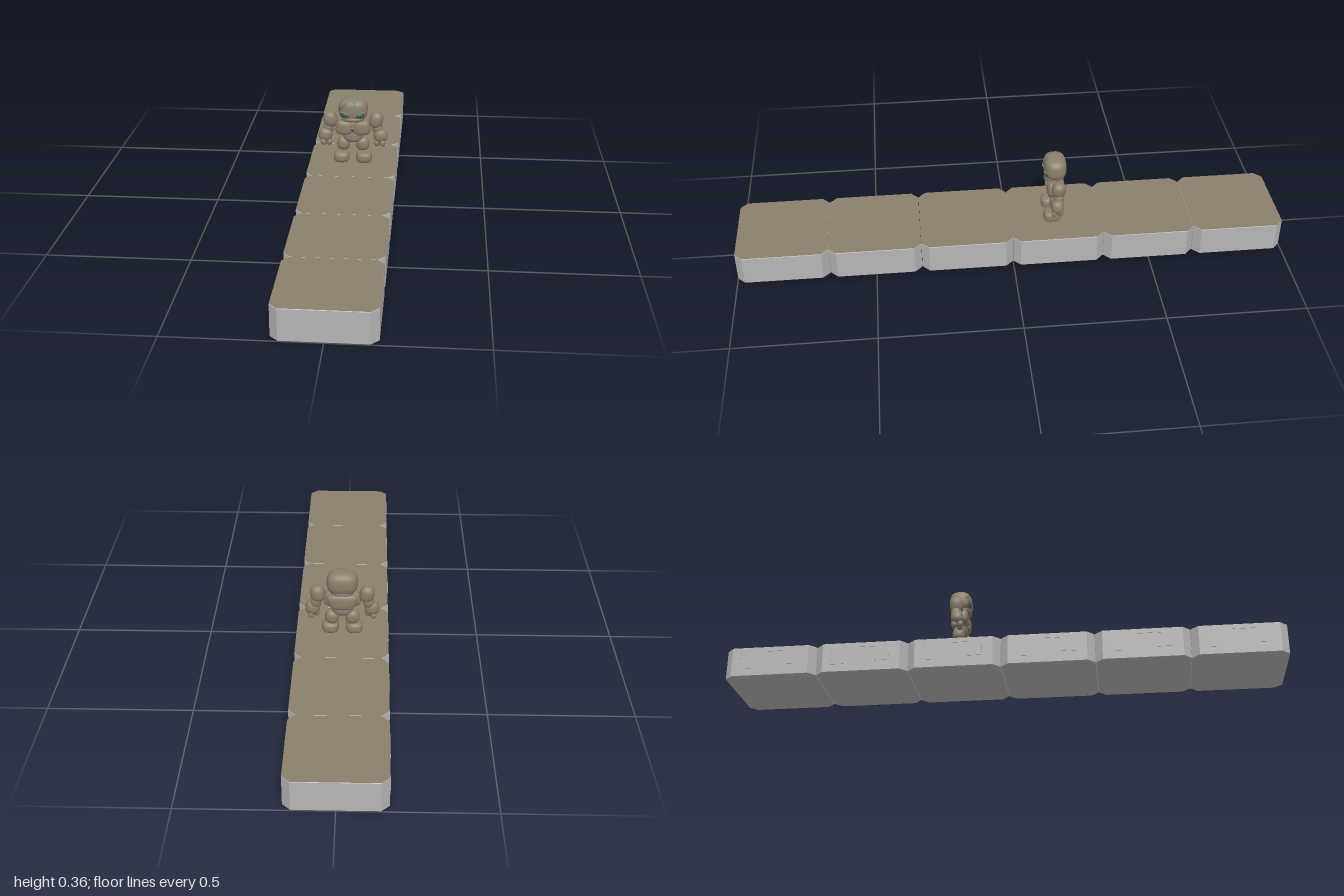
import * as THREE from 'three';

const mat = (name, color, side = THREE.FrontSide) => {
  const m = new THREE.MeshStandardMaterial({ color, side });
  m.name = name;
  return m;
};

export function createModel() {
  const stoneMat = mat('brown stone', 0x8b7f6b);
  const greyMat = mat('grey slab', 0xb6b6b6);
  const darkMat = mat('dark crack', 0x4a4238);
  const tealMat = mat('teal glow', 0x1f8f96);
  const pupilMat = mat('deep teal', 0x0f4f58);
  const root = new THREE.Group();
  root.name = 'guardianOnWalkway';

  const add = (parent, name, geo, material, x = 0, y = 0, z = 0) => {
    const m = new THREE.Mesh(geo, material);
    m.name = name;
    m.position.set(x, y, z);
    parent.add(m);
    return m;
  };

  // Walkway: six slabs with cut corners
  const outline = (hw, hd, c) => new THREE.Shape([
    [-hw + c, -hd], [hw - c, -hd], [hw, -hd + c], [hw, hd - c],
    [hw - c, hd], [-hw + c, hd], [-hw, hd - c], [-hw, -hd + c],
  ].map(([x, y]) => new THREE.Vector2(x, y)));
  const b = 0.002;
  const slabGeo = new THREE.ExtrudeGeometry(outline(0.165 - b, 0.1662 - b, 0.025), {
    depth: 0.111 - 2 * b, bevelSize: b, bevelThickness: b, bevelSegments: 1,
  }).rotateX(-Math.PI / 2).translate(0, b, 0);
  const topGeo = new THREE.ShapeGeometry(outline(0.165, 0.1662, 0.026)).rotateX(-Math.PI / 2);
  // Raised seams on the slab sides: [z, y, length, height]
  const seams = [[-0.11, 0.062, 0.004, 0.064], [-0.085, 0.031, 0.05, 0.003],
    [0.02, 0.094, 0.09, 0.003], [0.1, 0.065, 0.004, 0.05], [0.075, 0.041, 0.05, 0.003]];
  for (let i = 0; i < 6; i++) {
    const tile = new THREE.Group();
    tile.name = 'walkwayTile';
    tile.position.z = -1 + (i + 0.5) / 3;
    add(tile, 'slab', slabGeo, greyMat);
    add(tile, 'paving', topGeo, stoneMat, 0, 0.1115, 0);
    for (const [z, y, l, h] of seams) {
      add(tile, 'sideSeam', new THREE.BoxGeometry(0.003, h, l), greyMat, -0.1655, y, z);
    }
    root.add(tile);
  }
  for (const y of [0.04, 0.085]) {
    for (const x of [-0.07, 0.08]) {
      add(root, 'endSeam', new THREE.BoxGeometry(0.06, 0.002, 0.002), greyMat, x, y, -0.9985);
    }
  }

  // Rounded boulder: a sphere pushed towards a box; taper widens the top
  const boulder = (w, h, d, p = 2.6, taper = 0) => {
    const g = new THREE.SphereGeometry(1, 32, 24);
    const pos = g.attributes.position, nor = g.attributes.normal;
    const v = new THREE.Vector3(), n = new THREE.Vector3();
    const grad = (t) => Math.sign(t) * Math.abs(t) ** (p - 1);
    for (let i = 0; i < pos.count; i++) {
      v.fromBufferAttribute(pos, i);
      v.divideScalar((Math.abs(v.x) ** p + Math.abs(v.y) ** p + Math.abs(v.z) ** p) ** (1 / p));
      n.set(grad(v.x) / w, grad(v.y) / h, grad(v.z) / d).normalize();
      nor.setXYZ(i, n.x, n.y, n.z);
      pos.setXYZ(i, v.x * w / 2 * (1 + taper * v.y), v.y * h / 2, v.z * d / 2);
    }
    if (taper) g.computeVertexNormals();
    return g;
  };

  const golem = new THREE.Group();
  golem.name = 'stoneGolem';
  golem.position.z = -0.166;
  root.add(golem);

  // Head
  const HW = 0.11, HH = 0.086, HD = 0.082, HP = 2.8;
  const head = new THREE.Group();
  head.name = 'head';
  head.position.y = 0.321;
  golem.add(head);
  add(head, 'skull', boulder(HW, HH, HD, HP), stoneMat);
  add(head, 'jaw', boulder(0.088, 0.026, 0.074, 2.6), stoneMat, 0, -0.035, 0.002);
  // Depth of the face at a point, so that details follow it
  const faceZ = (x, y) => HD / 2 * Math.max(0,
    1 - Math.abs(2 * x / HW) ** HP - Math.abs(2 * y / HH) ** HP) ** (1 / HP);
  const faceLine = (name, pts, material, r) => {
    const path = new THREE.CurvePath();
    const v = pts.map(([x, y]) => new THREE.Vector3(x, y, faceZ(x, y)));
    for (let i = 1; i < v.length; i++) path.add(new THREE.LineCurve3(v[i - 1], v[i]));
    add(head, name, new THREE.TubeGeometry(path, 24, r, 5), material);
  };
  faceLine('foreheadRune', [[-0.008, 0.036], [-0.008, 0.02], [0.009, 0.02], [0.009, 0.034], [-0.003, 0.034]], tealMat, 0.0013);
  faceLine('foreheadRune', [[0.018, 0.034], [0.018, 0.011]], tealMat, 0.0009);
  faceLine('crack', [[-0.051, 0.004], [-0.045, 0.01], [-0.039, 0.013], [-0.034, 0.021], [-0.026, 0.024], [-0.02, 0.033]], darkMat, 0.0009);
  faceLine('mouth', [[-0.046, -0.018], [-0.038, -0.025], [-0.02, -0.028], [0.02, -0.028], [0.038, -0.025], [0.046, -0.018]], darkMat, 0.001);
  for (const s of [-1, 1]) {
    const eye = new THREE.Group();
    eye.name = 'eye';
    eye.position.set(s * 0.029, -0.016, faceZ(0.029, -0.016) - 0.001);
    eye.rotation.set(0.05, s * 0.25, s * 0.2);
    add(eye, 'eyeSocket', boulder(0.029, 0.016, 0.005, 2), darkMat);
    add(eye, 'eyeGlow', boulder(0.022, 0.012, 0.007, 2), tealMat);
    add(eye, 'pupil', boulder(0.01, 0.009, 0.009, 2), pupilMat);
    const brow = add(eye, 'brow', boulder(0.034, 0.006, 0.01, 2.4), stoneMat, 0, 0.009, 0);
    brow.rotation.z = s * 0.1;
    head.add(eye);
  }

  // Torso
  add(golem, 'upperBody', boulder(0.106, 0.064, 0.058, 3.4, 0.16), stoneMat, 0, 0.247, -0.004);
  add(golem, 'belly', boulder(0.076, 0.05, 0.05, 2.8, 0.14), stoneMat, 0, 0.213, 0);
  add(golem, 'coreRing', new THREE.TorusGeometry(0.008, 0.0025, 8, 20), stoneMat, 0, 0.244, 0.032);
  add(golem, 'core', boulder(0.013, 0.013, 0.006, 2), darkMat, 0, 0.244, 0.03);

  // Paired parts
  for (const s of [-1, 1]) {
    const part = (name, size, x, y, z = 0, tilt = 0) => {
      add(golem, name, boulder(...size), stoneMat, s * x, y, z).rotation.z = s * tilt;
    };
    part('chestPlate', [0.063, 0.058, 0.046, 3.2], 0.034, 0.249, 0.01, 0.12);
    part('shoulder', [0.052, 0.064, 0.05, 2.4], 0.087, 0.276, -0.004, -0.2);
    part('elbow', [0.04, 0.046, 0.038, 2.2], 0.093, 0.243, -0.004, 0.2);
    part('forearm', [0.052, 0.052, 0.046, 2.5], 0.105, 0.216, 0.002, 0.2);
    part('finger', [0.022, 0.026, 0.022, 2.2], 0.113, 0.19, 0.014);
    part('finger', [0.022, 0.026, 0.022, 2.2], 0.111, 0.19, -0.008);
    part('thumb', [0.024, 0.026, 0.022, 2.2], 0.091, 0.189, 0.009);
    part('thigh', [0.051, 0.054, 0.046, 2.4], 0.036, 0.181, -0.002, 0.15);
    part('foot', [0.06, 0.044, 0.064, 3], 0.043, 0.133, 0.012, 0);
  }
  return root;
}
